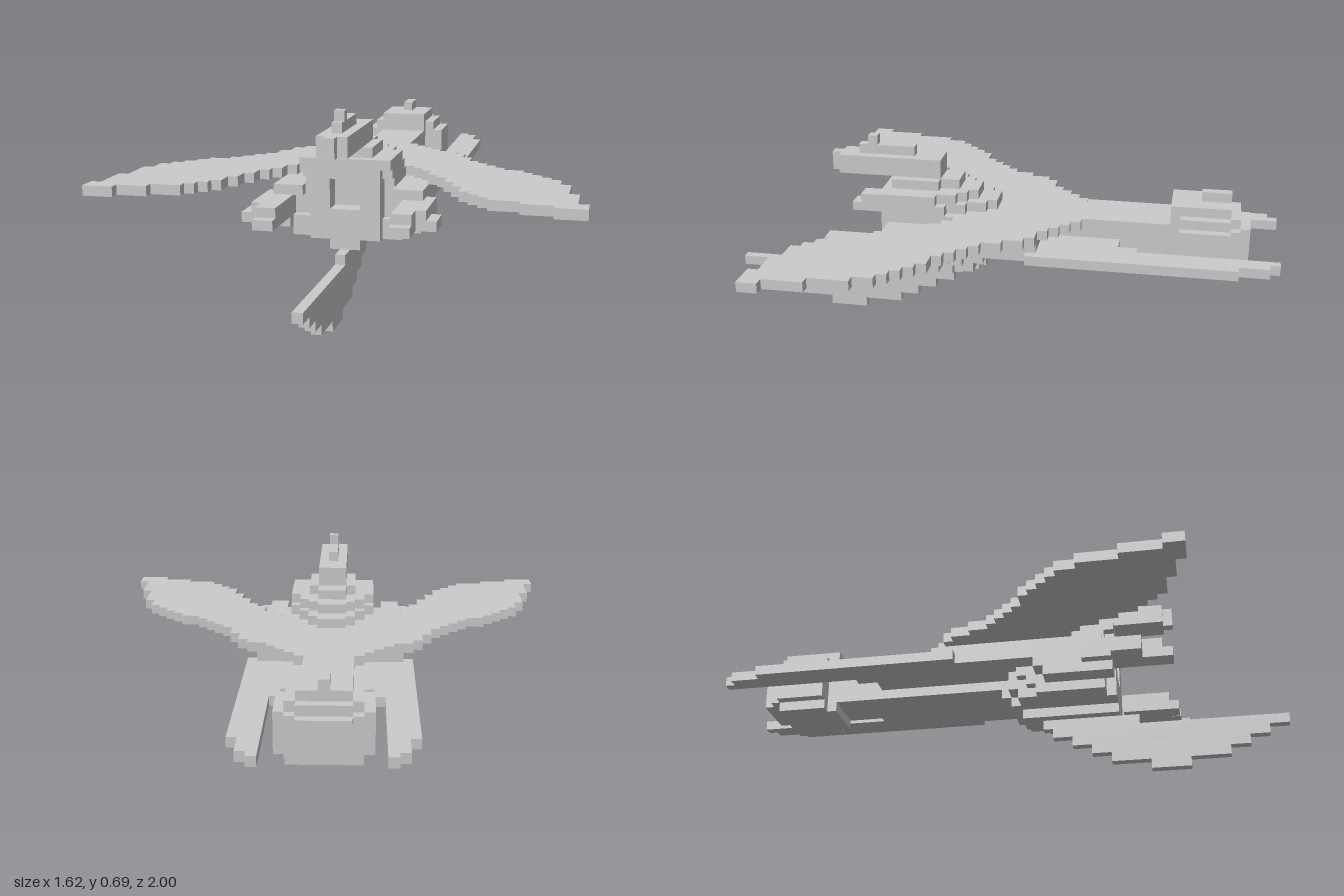
import * as THREE from 'three';

// One block of the model; the grid is 47 x 20 x 58 blocks.
const U = 2 / 58;
const material = new THREE.MeshStandardMaterial({ color: 0xcccccc, flatShading: true });

export function createModel() {
  const model = new THREE.Group();

  const part = (name) => {
    const group = new THREE.Group();
    group.name = name;
    model.add(group);
    return group;
  };

  // Box in grid units: x in half-block edges from the centre, y and z as layer ranges (z counted from the back).
  const box = (group, x0, x1, y0, y1, z0, z1) => {
    const mesh = new THREE.Mesh(new THREE.BoxGeometry((x1 - x0) * U, (y1 - y0) * U, (z1 - z0) * U), material);
    mesh.position.set((x0 + x1) / 2 * U, (y0 + y1) / 2 * U, ((z0 + z1) / 2 - 29) * U);
    mesh.name = group.name + 'Block';
    group.add(mesh);
  };
  // Centred slab covering columns -i..i
  const mid = (group, i, ...r) => box(group, -i - 0.5, i + 0.5, ...r);
  // Mirrored pair covering columns a..b on each side
  const pair = (group, a, b, ...r) => {
    box(group, a - 0.5, b + 0.5, ...r);
    box(group, -b - 0.5, -a + 0.5, ...r);
  };

  // Swept wings, one strip per column with stepped leading and trailing edges
  const wing = part('wings');
  const lead = [20, 20, 20, 20, 21, 22, 23, 24, 24, 25, 27, 29, 30, 31, 32, 33, 33, 34, 35, 36, 37, 39, 43, 47];
  const trail = [33, 33, 33, 33, 33, 33, 34, 35, 37, 38, 40, 42, 44, 45, 46, 47, 47, 47, 48, 48, 48, 49, 49, 49];
  mid(wing, 0, 12, 13, lead[0], trail[0]);
  for (let i = 1; i < lead.length; i++) pair(wing, i, i, 12, 13, lead[i], trail[i]);

  // Long spine to the rear engine
  mid(part('spine'), 2, 9, 13, 3, 31);

  // Side rails with the web that ties them to the spine
  const rail = part('rails');
  pair(rail, 6, 6, 10, 11, 0, 33);
  pair(rail, 7, 7, 10, 11, 1, 33);
  pair(rail, 8, 8, 10, 11, 4, 25);
  pair(rail, 5, 5, 10, 11, 14, 33);
  pair(rail, 3, 4, 10, 11, 16, 33);
  pair(rail, 3, 7, 11, 12, 24, 33);

  // Rear engine block
  const engine = part('rearEngine');
  mid(engine, 4, 9, 13, 5, 10);
  mid(engine, 3, 8, 14, 5, 10);
  mid(engine, 3, 9, 13, 4, 5);
  mid(engine, 2, 8, 15, 5, 11);
  mid(engine, 2, 9, 14, 4, 5);
  mid(engine, 0, 15, 16, 5, 8);

  // Hull layers with rounded tails: bottom, top, front, tail start per half width
  const hull = part('hull');
  const layers = [
    [6, 7, 41, [[1, 31]]],
    [7, 8, 40, [[2, 30], [4, 31], [5, 33]]],
    [8, 9, 40, [[2, 29], [4, 30], [5, 32]]],
    [9, 12, 39, [[2, 29], [4, 30], [5, 31]]],
    [12, 13, 39, [[4, 29]]],
    [13, 14, 40, [[1, 29], [2, 30], [3, 32], [4, 34]]],
    [14, 15, 41, [[1, 31], [2, 32], [3, 33], [4, 35]]],
    [15, 16, 40, [[1, 33], [2, 35]]],
  ];
  for (const [y0, y1, front, steps] of layers)
    for (const [i, back] of steps) mid(hull, i, y0, y1, back, front);

  // Front plate around the square intake
  const intake = part('frontIntake');
  mid(intake, 3, 7, 10, 38, 41);
  mid(intake, 3, 13, 14, 38, 41);
  pair(intake, 2, 3, 10, 13, 38, 41);

  // Top cannon
  const cannon = part('topCannon');
  mid(cannon, 1, 16, 18, 35, 46);
  mid(cannon, 0, 16, 18, 46, 47);
  mid(cannon, 0, 18, 19, 38, 44);
  mid(cannon, 0, 19, 20, 42, 43);

  // Side guns with short outer winglets
  const gun = part('sideGuns');
  pair(gun, 6, 7, 9, 10, 33, 47);
  pair(gun, 6, 7, 10, 11, 33, 46);
  pair(gun, 5, 7, 11, 12, 33, 40);
  pair(gun, 6, 7, 8, 9, 34, 41);
  pair(gun, 8, 8, 9, 11, 38, 44);
  pair(gun, 9, 9, 9, 10, 41, 44);

  // Thin keel fin, one strip per layer
  const fin = part('keelFin');
  [[44, 48], [40, 52], [38, 54], [36, 56], [34, 58], [33, 43]]
    .forEach(([z0, z1], y) => mid(fin, 0, y, y + 1, z0, z1));

  return model;
}
